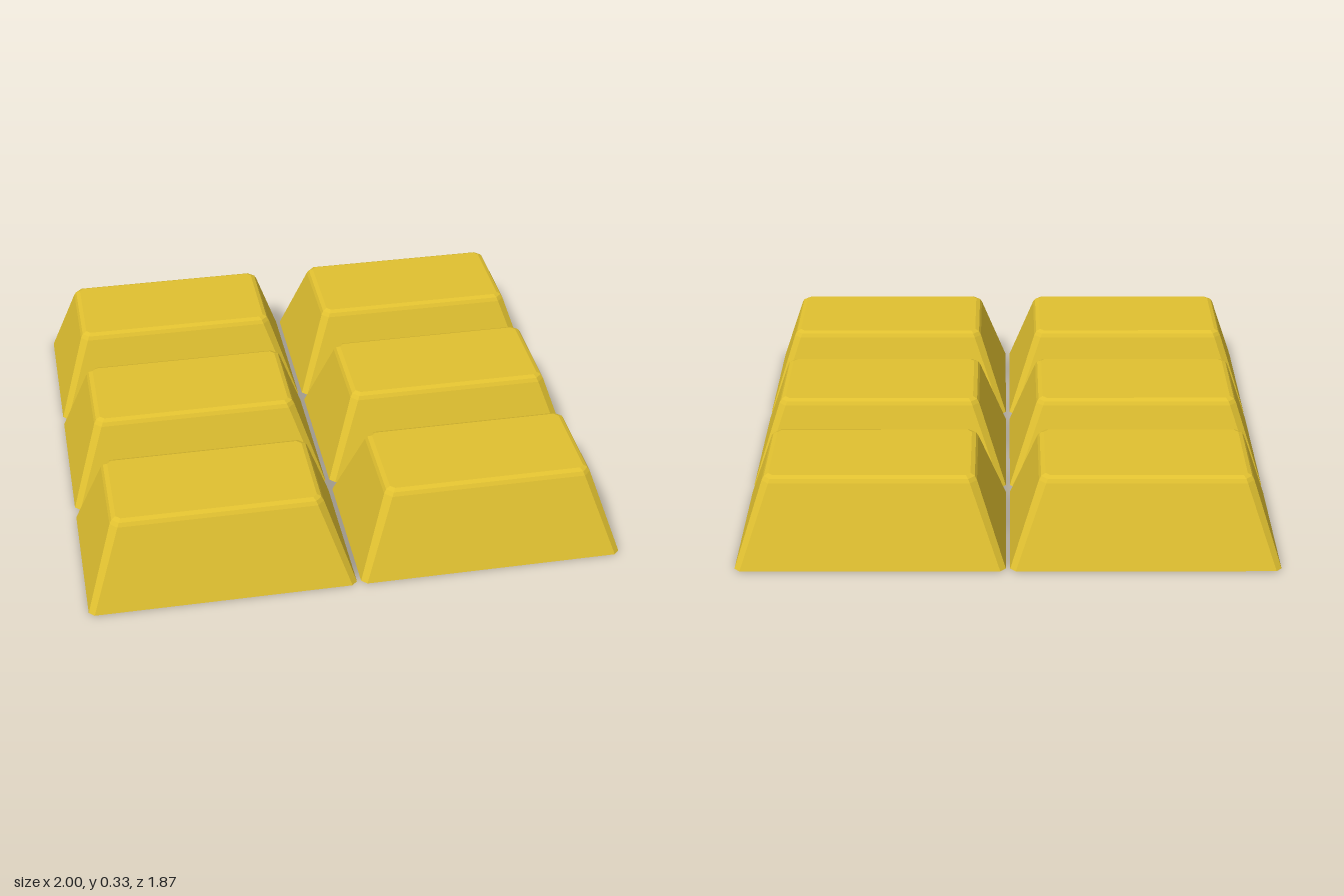
import * as THREE from 'three';

const LENGTH = 0.99, DEPTH = 0.61;

// Rings from base to top: height, inset from the footprint, corner chamfer
const RINGS = [
  [0, 0, 0.02],
  [0.308, 0.104, 0.026],
  [0.322, 0.112, 0.024],
  [0.33, 0.128, 0.016],
];

// Chamfered rectangle, counter-clockwise as seen from below
function ring([y, inset, c]) {
  const x = LENGTH / 2 - inset, z = DEPTH / 2 - inset;
  return [
    [x, y, z - c], [x - c, y, z], [c - x, y, z], [-x, y, z - c],
    [-x, y, c - z], [c - x, y, -z], [x - c, y, -z], [x, y, c - z],
  ];
}

// Tapered ingot: rings lofted together and capped at both ends
function ingotGeometry() {
  const rings = RINGS.map(ring);
  const pos = [];
  const tri = (a, b, c) => pos.push(...a, ...b, ...c);
  for (let r = 0; r < rings.length - 1; r++) {
    const lo = rings[r], hi = rings[r + 1];
    for (let i = 0; i < 8; i++) {
      const j = (i + 1) % 8;
      tri(lo[i], hi[i], hi[j]);
      tri(lo[i], hi[j], lo[j]);
    }
  }
  const base = rings[0], top = rings[rings.length - 1];
  for (let i = 1; i < 7; i++) {
    tri(top[0], top[i + 1], top[i]);
    tri(base[0], base[i], base[i + 1]);
  }
  const geometry = new THREE.BufferGeometry();
  geometry.setAttribute('position', new THREE.Float32BufferAttribute(pos, 3));
  geometry.computeVertexNormals();
  return geometry;
}

export function createModel() {
  const group = new THREE.Group();
  group.name = 'goldIngots';
  const gold = new THREE.MeshStandardMaterial({ color: 0xe0c030, flatShading: true });
  const geometry = ingotGeometry();

  // Two columns of three ingots
  const columns = { Left: 0.503, Right: -0.503 };
  const rows = { front: 0.628, middle: -0.005, back: -0.628 };
  for (const [row, z] of Object.entries(rows)) {
    for (const [side, x] of Object.entries(columns)) {
      const ingot = new THREE.Mesh(geometry, gold);
      ingot.name = `${row}${side}Ingot`;
      ingot.position.set(x, 0, z);
      group.add(ingot);
    }
  }
  return group;
}
